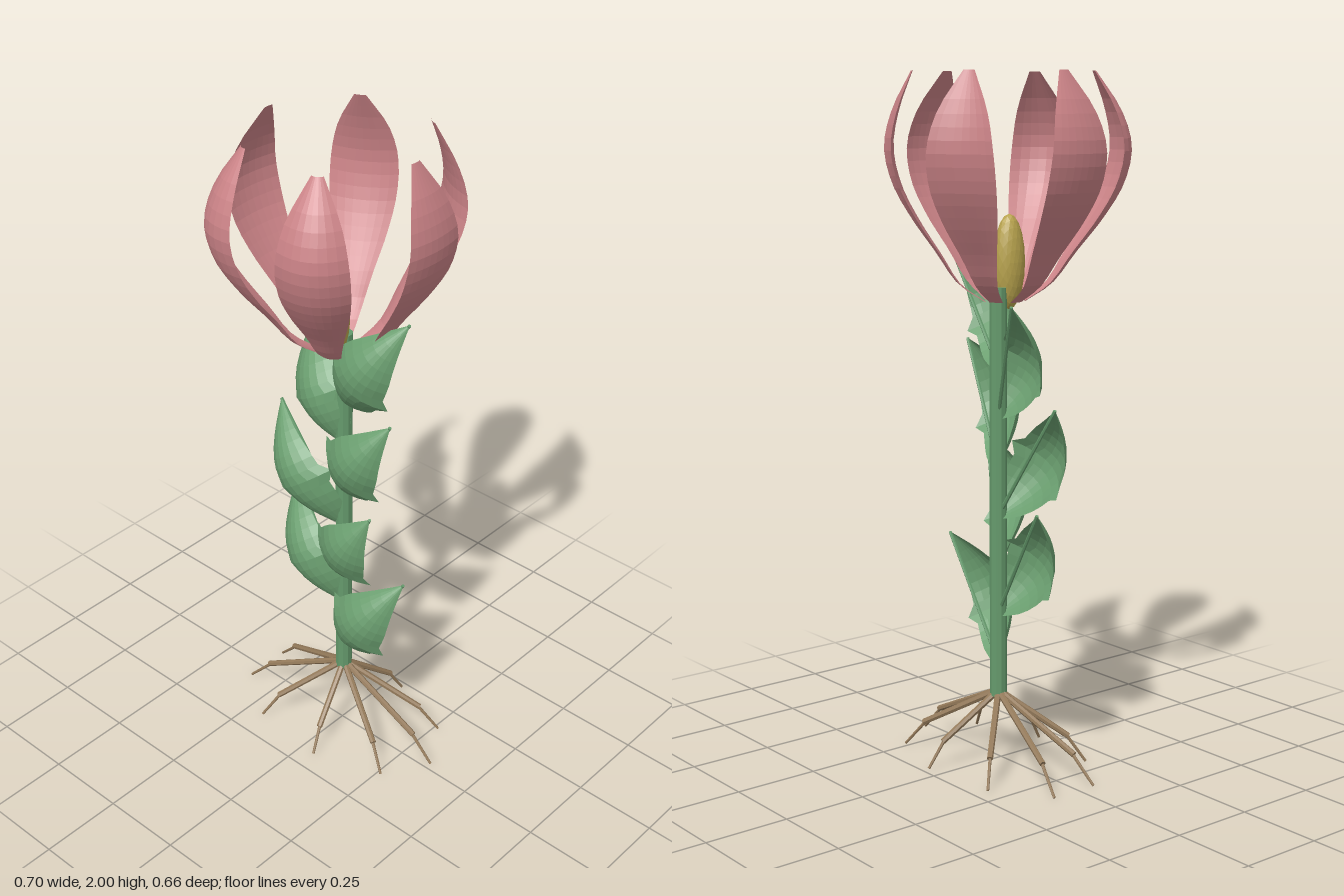
import * as THREE from 'three';

const V = (x, y, z) => new THREE.Vector3(x, y, z);

function material(name, color, extra = {}) {
  const m = new THREE.MeshStandardMaterial({ color, flatShading: true, ...extra });
  m.name = name;
  return m;
}

// Smooth interpolation of evenly spaced profile points [a, b, c]
function profile(points) {
  const curve = new THREE.CatmullRomCurve3(points.map(p => V(...p)));
  return t => curve.getPoint(t);
}

// Open surface: fn(t, u) with t along 0..1 and u across -1..1
function sheet(rows, cols, fn) {
  const pos = [], index = [];
  for (let i = 0; i <= rows; i++)
    for (let j = 0; j <= cols; j++) pos.push(...fn(i / rows, (j / cols) * 2 - 1).toArray());
  for (let i = 0; i < rows; i++)
    for (let j = 0; j < cols; j++) {
      const a = i * (cols + 1) + j, b = a + 1, c = a + cols + 1, d = c + 1;
      index.push(a, b, c, b, d, c);
    }
  const g = new THREE.BufferGeometry();
  g.setAttribute('position', new THREE.Float32BufferAttribute(pos, 3));
  g.setIndex(index);
  g.computeVertexNormals();
  return g;
}

// Cylinder between two points
function rod(a, b, r0, r1, mat, name, sides = 7) {
  const d = b.clone().sub(a);
  const mesh = new THREE.Mesh(new THREE.CylinderGeometry(r1, r0, d.length(), sides), mat);
  mesh.position.copy(a).add(b).multiplyScalar(0.5);
  mesh.quaternion.setFromUnitVectors(V(0, 1, 0), d.normalize());
  mesh.name = name;
  return mesh;
}

export function createModel() {
  const model = new THREE.Group();
  model.name = 'flower';
  const petalMat = material('petal pink', 0xcb8387, { side: THREE.DoubleSide });
  const leafMat = material('leaf green', 0x6b9f70, { side: THREE.DoubleSide });
  const stemMat = material('stem green', 0x659a6c);
  const rootMat = material('root brown', 0x947a5a);
  const pistilMat = material('pistil yellow', 0xb9a44e);
  const X = -0.012, Z = -0.02;

  // Stem
  model.add(rod(V(X, 0.2, Z), V(X, 1.4, Z), 0.025, 0.025, stemMat, 'stem', 10));

  // Pistil
  const pistil = new THREE.Mesh(new THREE.IcosahedronGeometry(1, 3), pistilMat);
  pistil.scale.set(0.04, 0.135, 0.048);
  pistil.position.set(X, 1.47, 0.02);
  pistil.name = 'pistil';
  model.add(pistil);

  // Petals: points are [radius, height, half width]
  const petal = profile([
    [0.055, 1.36, 0.02], [0.13, 1.41, 0.032], [0.19, 1.495, 0.052], [0.26, 1.595, 0.08],
    [0.31, 1.69, 0.096], [0.33, 1.79, 0.095], [0.308, 1.89, 0.072], [0.255, 2.0, 0.016],
  ]);
  for (let i = 0; i < 6; i++) {
    const a = (i * Math.PI) / 3, c = Math.cos(a), s = Math.sin(a);
    const cup = 0.012 + 0.033 * s; // front petals cup outward, rear ones inward
    const mesh = new THREE.Mesh(sheet(20, 8, (t, u) => {
      const p = petal(t);
      const r = p.x + cup * (1 - u * u) * (p.z / 0.097) - 0.007 * Math.sin(Math.PI * t);
      const w = u * p.z;
      return V(-0.01 + r * c - w * s, p.y, r * s + w * c);
    }), petalMat);
    mesh.name = 'petal';
    model.add(mesh);
  }

  // Leaves: [base height, tip x, tip y, tip z], with a straight rib behind each
  const half = profile([
    [0, 0.012, 0], [0, 0.058, 0], [0, 0.084, 0], [0, 0.096, 0], [0, 0.096, 0],
    [0, 0.083, 0], [0, 0.058, 0], [0, 0.03, 0], [0, 0.001, 0],
  ]);
  const leaves = [
    [0.3, 0.23, 0.645, -0.01], [0.45, -0.25, 0.79, -0.075], [0.59, 0.203, 0.935, 0.112],
    [0.74, -0.26, 1.08, -0.02], [0.88, 0.224, 1.225, 0.055], [1.03, -0.213, 1.37, -0.137],
    [1.17, 0.23, 1.52, -0.01],
  ];
  for (const [y, tx, ty, tz] of leaves) {
    const base = V(X, y, Z), tip = V(tx, ty, tz);
    const across = V(ty - y, X - tx, 0).normalize();
    const leaf = new THREE.Group();
    leaf.name = 'leaf';
    const blade = new THREE.Mesh(sheet(14, 8, (t, u) => {
      const w = half(t).y;
      const p = base.clone().lerp(tip, t).addScaledVector(across, u * w);
      p.z += 0.115 * Math.sin(Math.PI * t) - 0.055 * u * u * (w / 0.097);
      return p;
    }), leafMat);
    blade.name = 'leafBlade';
    leaf.add(blade, rod(base, tip, 0.006, 0.005, stemMat, 'leafRib', 6));
    model.add(leaf);
  }

  // Roots: nine, spread on an ellipse, each thick then thin
  for (let i = 0; i < 9; i++) {
    const a = (i * Math.PI * 2) / 9;
    const at = (f, y) => V(X + 0.36 * f * Math.cos(a), y, Z + 0.213 * f * Math.sin(a));
    const root = new THREE.Group();
    root.name = 'root';
    root.add(
      rod(at(0, 0.215), at(0.8, 0.08), 0.01, 0.009, rootMat, 'upperRoot'),
      rod(at(0.77, 0.086), at(1, 0.004), 0.005, 0.004, rootMat, 'rootTip'),
    );
    model.add(root);
  }
  return model;
}
